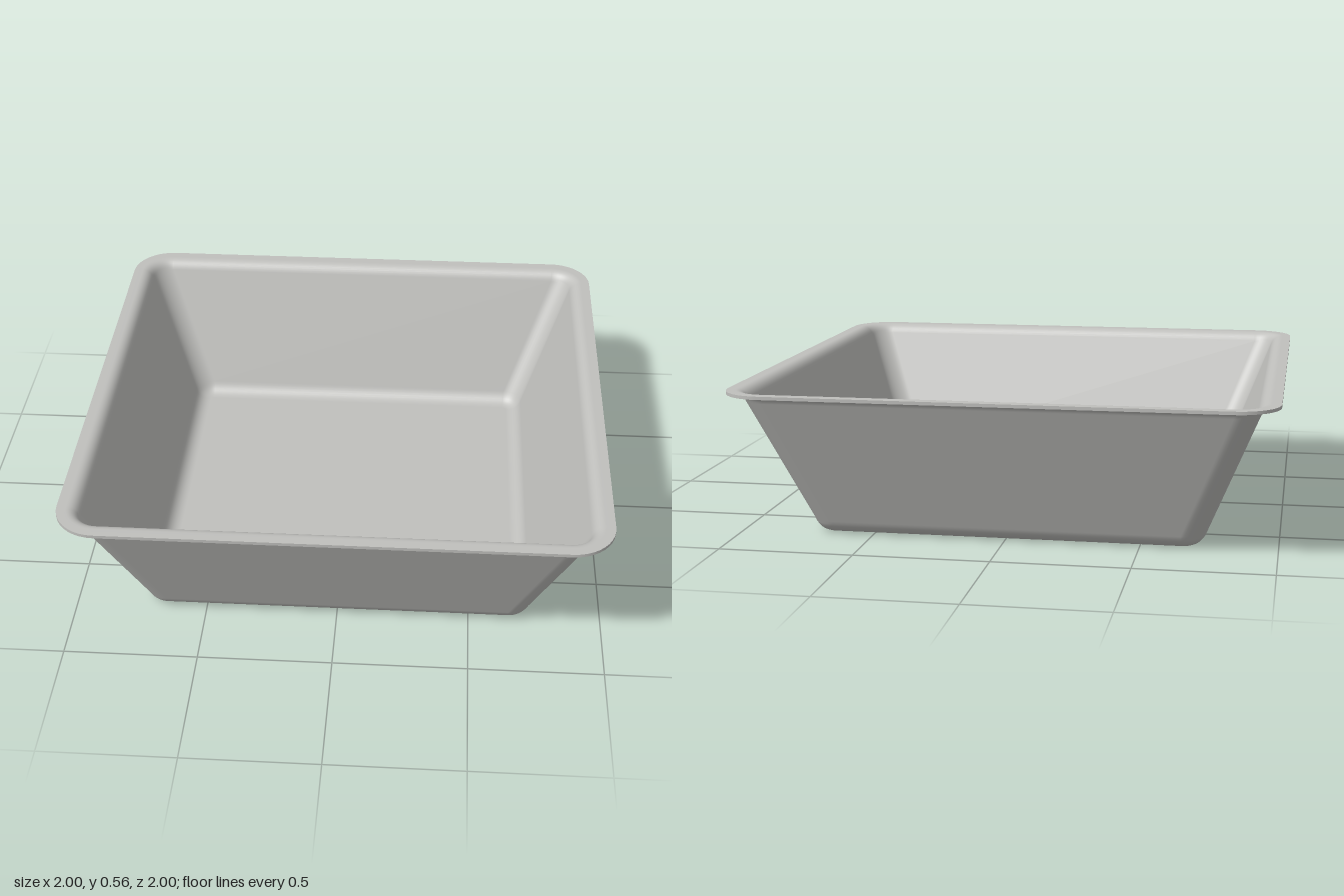
import * as THREE from 'three';

const CORNER_STEPS = 10;

// Ring of points round a square with rounded corners; corner axes lean outwards with height
function ring(half, y) {
  const t = THREE.MathUtils.clamp((y - 0.05) / 0.48, 0, 1);
  const c = Math.min(0.65 + 0.19 * t, half);
  const r = half - c;
  const points = [];
  for (let k = 0; k < 4; k++) {
    const cx = k === 0 || k === 3 ? c : -c;
    const cz = k < 2 ? c : -c;
    for (let i = 0; i <= CORNER_STEPS; i++) {
      const a = (k + i / CORNER_STEPS) * Math.PI / 2;
      points.push([cx + r * Math.cos(a), y, cz + r * Math.sin(a)]);
    }
  }
  return points;
}

// Rounded bend between two profile points
function bend(a, corner, b, steps = 8) {
  const curve = new THREE.QuadraticBezierCurve(
    new THREE.Vector2(...a), new THREE.Vector2(...corner), new THREE.Vector2(...b));
  return curve.getPoints(steps).map(p => [p.x, p.y]);
}

// Skin of rings along a profile of [half width, height]; a cap closes its start or end
function skin(profile, cap) {
  const rings = profile.map(([h, y]) => ring(h, y));
  const n = rings[0].length;
  const positions = rings.flat(2);
  const index = [];
  for (let s = 0; s < rings.length - 1; s++) {
    for (let j = 0; j < n; j++) {
      const a = s * n + j, b = s * n + (j + 1) % n;
      index.push(a, a + n, b, b, a + n, b + n);
    }
  }
  if (cap) {
    const row = cap === 'start' ? 0 : rings.length - 1;
    const centre = positions.length / 3;
    positions.push(0, profile[row][1], 0);
    for (let j = 0; j < n; j++) {
      const a = row * n + j, b = row * n + (j + 1) % n;
      if (cap === 'start') index.push(centre, a, b);
      else index.push(a, centre, b);
    }
  }
  const geometry = new THREE.BufferGeometry();
  geometry.setAttribute('position', new THREE.Float32BufferAttribute(positions, 3));
  geometry.setIndex(index);
  geometry.computeVertexNormals();
  return geometry;
}

export function createModel() {
  const metal = new THREE.MeshStandardMaterial({ color: 0xc0c0bd });
  metal.name = 'pale grey metal';
  const group = new THREE.Group();
  group.name = 'squareTray';

  const add = (name, geometry) => {
    const mesh = new THREE.Mesh(geometry, metal);
    mesh.name = name;
    group.add(mesh);
  };

  // Underside, sloping outer walls and the lower face of the flange
  add('outerShell', skin([
    ...bend([0.67, 0], [0.72, 0], [0.74, 0.05]),
    ...bend([0.93, 0.525], [0.941, 0.553], [0.965, 0.553]),
    [1, 0.553],
  ], 'start'));

  // Thin upright edge of the flange
  add('rimEdge', skin([[1, 0.553], [1, 0.565]]));

  // Upper face of the flange, inner walls and floor
  add('innerShell', skin([
    [1, 0.565],
    ...bend([0.965, 0.565], [0.931, 0.565], [0.916, 0.527]),
    ...bend([0.729, 0.06], [0.71, 0.012], [0.665, 0.012]),
  ], 'end'));

  return group;
}
